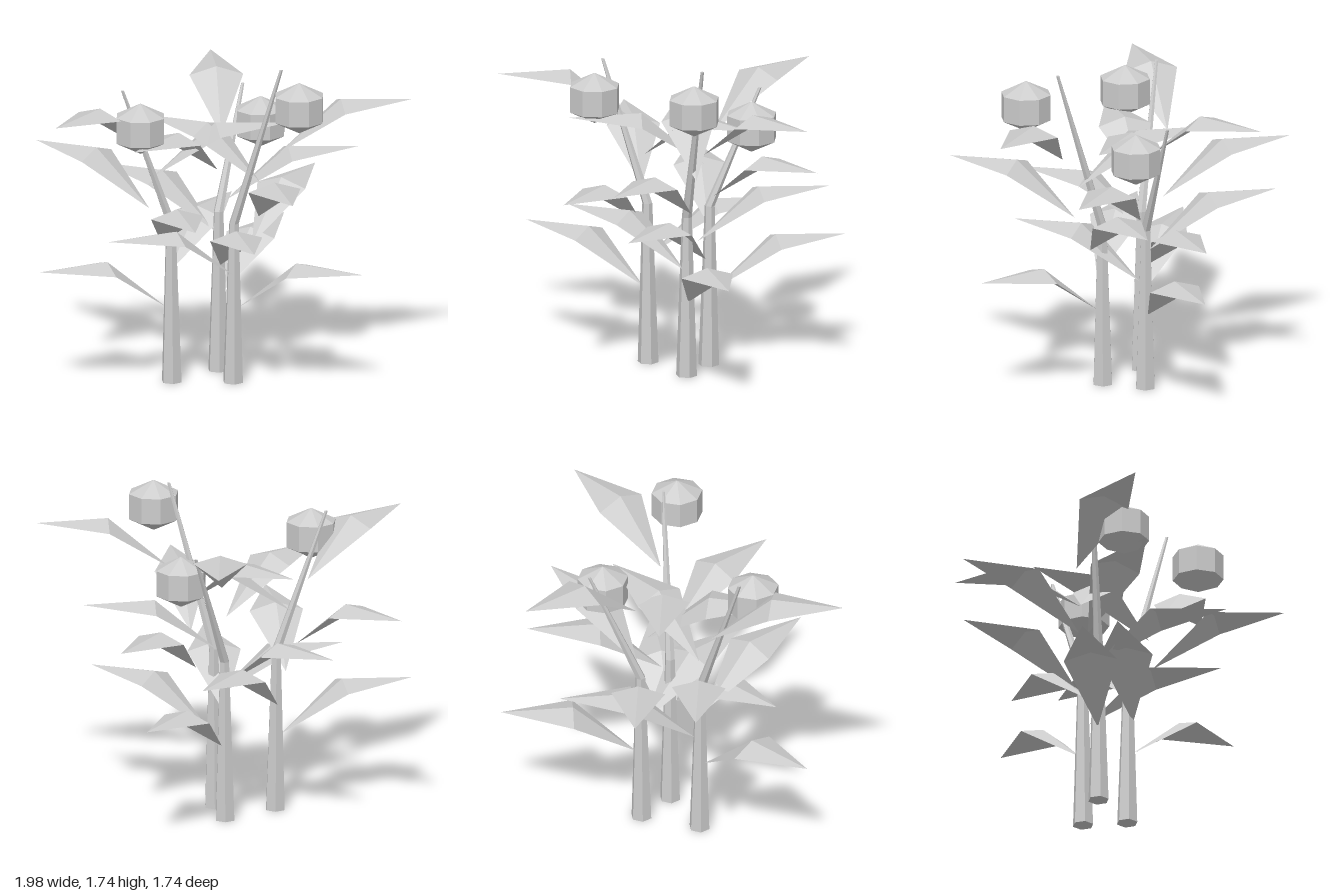
import * as THREE from 'three';

const material = new THREE.MeshStandardMaterial({ color: 0xcccccc, flatShading: true, side: THREE.DoubleSide });
const GOLDEN = THREE.MathUtils.degToRad(137.5);
const LEAVES = 6;

function part(name, geometry, parent) {
  const mesh = new THREE.Mesh(geometry, material);
  mesh.name = name;
  parent.add(mesh);
  return mesh;
}

// Six-sided stem through three rings: foot, bend and tip.
function stemGeometry(rings) {
  const geo = new THREE.CylinderGeometry(1, 1, 2, 6, 2);
  geo.rotateY(Math.PI / 6);
  const pos = geo.attributes.position;
  for (let i = 0; i < pos.count; i++) {
    const [x, y, z, r] = rings[Math.round(pos.getY(i)) + 1];
    pos.setXYZ(i, x + pos.getX(i) * r, y, z + pos.getZ(i) * r);
  }
  geo.computeVertexNormals();
  return geo;
}

// Folded blade along +x: it rises to its widest point, then runs level to the tip.
function leafGeometry() {
  const base = [0.03, 0.41, 0], ridge = [0.36, 0.69, 0], tip = [0.74, 0.67, 0];
  const near = [0.36, 0.645, 0.142], far = [0.36, 0.645, -0.142];
  const faces = [base, near, ridge, base, ridge, far, near, tip, ridge, ridge, tip, far];
  const geo = new THREE.BufferGeometry();
  geo.setAttribute('position', new THREE.Float32BufferAttribute(faces.flat(), 3));
  geo.computeVertexNormals();
  return geo;
}

export function createModel() {
  const model = new THREE.Group();
  model.name = 'fruitingPlant';
  const leaf = leafGeometry();
  const fruit = new THREE.SphereGeometry(0.155, 8, 3);
  fruit.scale(1, 0.89, 1);

  for (let i = 0; i < 3; i++) {
    const stalk = new THREE.Group();
    stalk.name = 'stalk' + (i + 1);
    const a = i * GOLDEN, dx = Math.cos(a), dz = Math.sin(a);
    stalk.position.set(-0.038 + 0.173 * dx, 0, 0.035 + 0.173 * dz);
    model.add(stalk);

    // Stem leaning outward above the bend
    const lean = 0.275, top = 1.74 - 0.12 * i;
    part('stem', stemGeometry([
      [0, 0, 0, 0.056],
      [dx * 0.005, 0.87, dz * 0.005, 0.027],
      [dx * lean, top, dz * lean, 0.009],
    ]), stalk);

    // Fruit hanging beside the tip
    part('fruit', fruit, stalk).position.set(dx * lean + 0.14, top - 0.167, dz * lean + 0.09);

    // Leaves spiralling up the stem
    for (let k = 0; k < LEAVES; k++) {
      const blade = part('leaf' + (k + 1), leaf, stalk);
      blade.position.set(dx * lean * k / LEAVES, 0.174 * k, 0);
      blade.rotation.y = -(i + k) * GOLDEN;
    }
  }
  return model;
}
